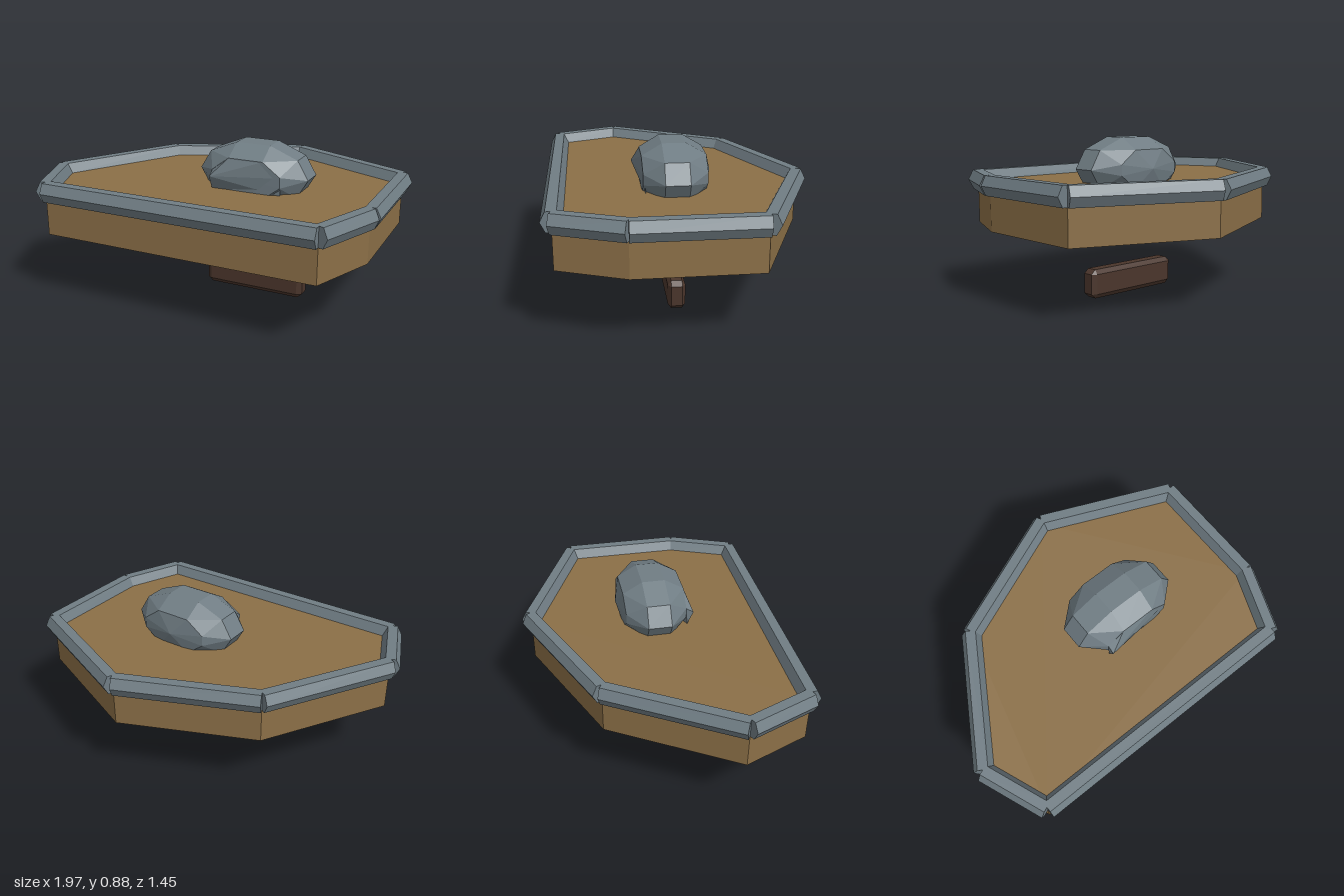
import * as THREE from 'three';
import { ConvexGeometry } from 'three/addons/geometries/ConvexGeometry.js';

const material = (color) => new THREE.MeshStandardMaterial({ color, flatShading: true });
const wood = material(0x8b6f47);
const steel = material(0x707d84);
const grip = material(0x4a352b);

// Outline of the board as [x, z], starting at the front left corner
const outline = [
  [-0.785, 0.66], [0.785, 0.66], [0.93, 0.3], [0.93, -0.37],
  [0.2, -0.68], [-0.53, -0.37], [-0.93, 0.3],
];
const boardBottom = 0.39, boardTop = 0.64;

function addMesh(parent, name, geometry, mat) {
  const mesh = new THREE.Mesh(geometry, mat);
  mesh.name = name;
  parent.add(mesh);
  return mesh;
}

const hull = (points) => new ConvexGeometry(points.map((p) => new THREE.Vector3(...p)));

const polygon = (points) => new THREE.Shape(points.map(([x, y]) => new THREE.Vector2(x, y)));

// Block with all edges chamfered: each face is inset along the two other axes
function chamferedBlock(half, cut) {
  const points = [];
  for (let axis = 0; axis < 3; axis++)
    for (const sx of [-1, 1]) for (const sy of [-1, 1]) for (const sz of [-1, 1])
      points.push([sx, sy, sz].map((s, i) => s * (i === axis ? half[i] : half[i] - cut[i])));
  return hull(points);
}

export function createModel() {
  const model = new THREE.Group();
  model.name = 'shield';

  // Thick wooden board
  const boardGeometry = new THREE.ExtrudeGeometry(polygon(outline.map(([x, z]) => [x, -z])), {
    depth: boardTop - boardBottom, bevelEnabled: false,
  });
  boardGeometry.rotateX(-Math.PI / 2);
  addMesh(model, 'board', boardGeometry, wood).position.y = boardBottom;

  // One hexagonal bar along each edge, centred on the top edge of the board
  const rim = new THREE.Group();
  rim.name = 'rim';
  model.add(rim);
  const section = polygon([
    [0.055, 0], [0.028, 0.054], [-0.028, 0.054], [-0.055, 0], [-0.028, -0.054], [0.028, -0.054],
  ]);
  outline.forEach(([x, z], i) => {
    const [nx, nz] = outline[(i + 1) % outline.length];
    const length = Math.hypot(nx - x, nz - z);
    const bar = addMesh(rim, 'rimBar', new THREE.ExtrudeGeometry(section, { depth: length, bevelEnabled: false }), steel);
    bar.position.set(x, boardTop, z);
    bar.rotation.y = Math.atan2(nx - x, nz - z);
  });

  // Faceted boss, an elongated dome around (cx, cz)
  const boss = new THREE.Group();
  boss.name = 'boss';
  model.add(boss);
  const cx = 0.2, cz = 0.02, waist = 0.715;
  const points = [[cx, waist, cz - 0.207], [cx, waist, cz + 0.18]];
  for (const sx of [-1, 1]) for (const sz of [-1, 1]) {
    const put = (dx, y, dz) => points.push([cx + sx * dx, y, cz + sz * dz]);
    put(0.1, 0.885, 0.065);
    for (const side of [-1, 1]) {
      const y = waist + side * 0.105;
      put(0.26, y, 0.065);
      put(0.1, y, 0.175);
      put(0.2, waist + side * 0.03, 0.173);
    }
    put(0.323, waist, 0.066);
  }
  addMesh(boss, 'bossDome', hull(points), steel);

  // Wedge standing out from the front of the boss
  addMesh(boss, 'bossWedge', hull([
    [0, waist, 0.235], [0, 0.64, 0.2], [0, 0.745, 0.19], [0.1, 0.82, 0.193],
    [0.3, 0.82, 0.193], [0.4, 0.74, 0.19], [0.4, 0.64, 0.18], [0.1, 0.64, 0.15],
  ]), steel);

  // Hand grip below the board
  addMesh(model, 'handGrip', chamferedBlock([0.298, 0.081, 0.048], [0.028, 0.025, 0.018]), grip)
    .position.set(0.2, 0.081, 0.024);

  return model;
}
